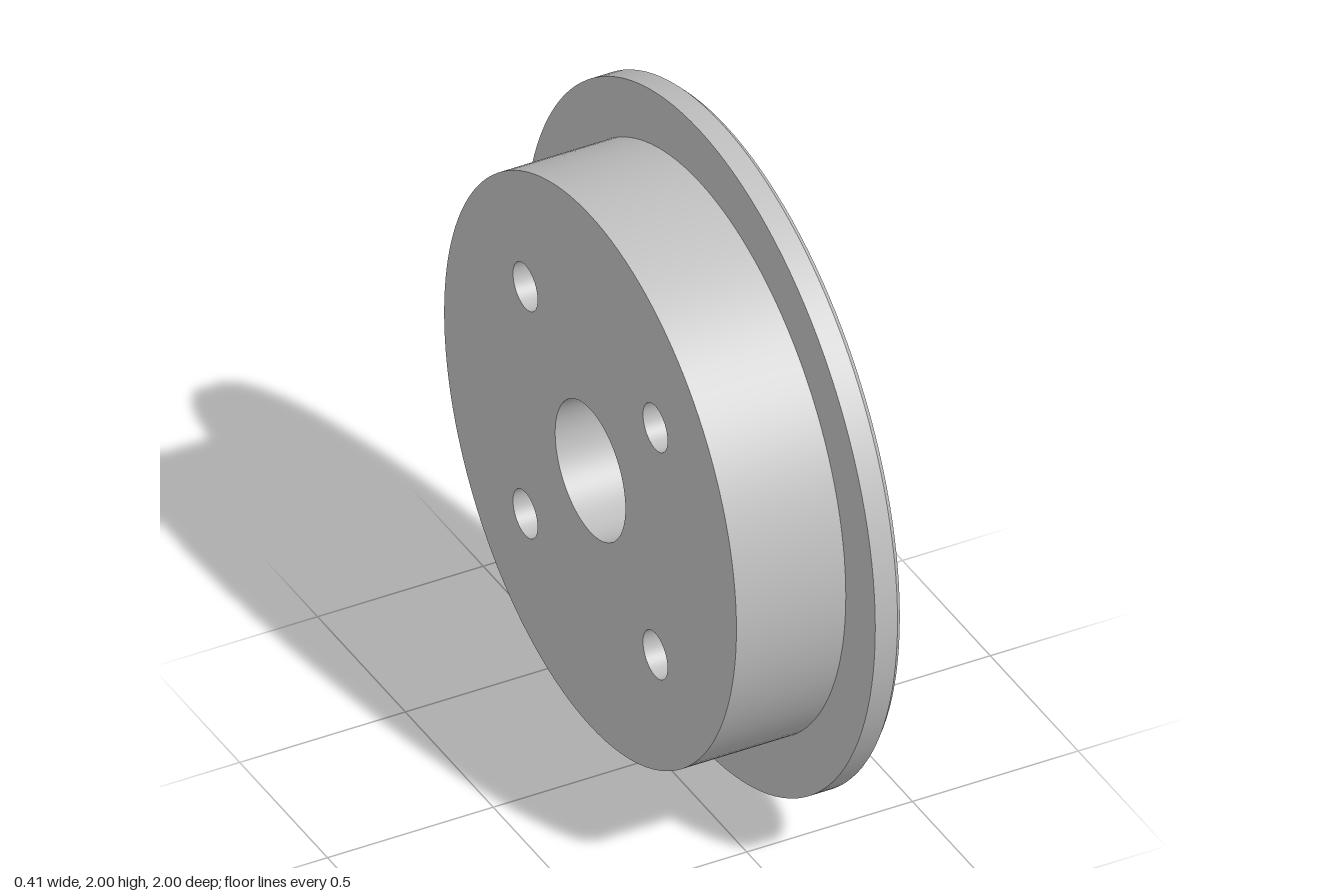
import * as THREE from 'three';

const BACK = -0.207, STEP = 0.123, FRONT = 0.205; // positions along the axle (x)
const HUB_R = 0.832, RIM_R = 1, CHAMFER = 0.015;
const POCKET = 0.02, BLIND = 0.25;

// Counter-clockwise outlines in the plane of the disc
function circle(u, v, r, n = 48) {
  return Array.from({ length: n }, (_, i) => {
    const a = (i / n) * Math.PI * 2;
    return new THREE.Vector2(u + r * Math.cos(a), v + r * Math.sin(a));
  });
}

function kidney(angle, r, halfWidth, spread) {
  const a = angle - spread, b = angle + spread;
  const path = new THREE.Path();
  path.absarc(0, 0, r + halfWidth, a, b, false);
  path.absarc(r * Math.cos(b), r * Math.sin(b), halfWidth, b, b + Math.PI, false);
  path.absarc(0, 0, r - halfWidth, b, a, true);
  path.absarc(r * Math.cos(a), r * Math.sin(a), halfWidth, a + Math.PI, a + Math.PI * 2, false);
  const pts = path.getPoints(20);
  return pts.filter((p, i) => p.distanceTo(pts[(i + 1) % pts.length]) > 1e-5);
}

// Flat face with holes, looking along +x (dir 1) or -x (dir -1)
function face(outline, holes, x, dir) {
  const shape = new THREE.Shape(outline);
  shape.holes = holes.map((h) => new THREE.Path(h));
  return new THREE.ShapeGeometry(shape).rotateY(dir * Math.PI / 2).translate(x, 0, 0);
}

// Inward-facing wall of a hole, from x0 to x1
function wall(outline, x0, x1) {
  const pos = [], index = [], n = outline.length;
  outline.forEach((p, i) => {
    pos.push(p.x, p.y, x0, p.x, p.y, x1);
    const a = 2 * i, c = 2 * ((i + 1) % n);
    index.push(a, a + 1, c, c, a + 1, c + 1);
  });
  const g = new THREE.BufferGeometry();
  g.setAttribute('position', new THREE.Float32BufferAttribute(pos, 3));
  g.setIndex(index);
  g.computeVertexNormals();
  return g.rotateY(Math.PI / 2);
}

// Outward-facing band around the axle
function band(r0, r1, x0, x1) {
  return new THREE.CylinderGeometry(r1, r0, x1 - x0, 128, 1, true)
    .rotateZ(-Math.PI / 2).translate((x0 + x1) / 2, 0, 0);
}

export function createModel() {
  const group = new THREE.Group();
  group.name = 'flangedHub';
  const metal = new THREE.MeshStandardMaterial({ color: 0xbfbfbf });
  metal.name = 'greyMetal';
  const add = (name, geometry) => {
    const mesh = new THREE.Mesh(geometry, metal);
    mesh.name = name;
    mesh.position.y = 1;
    group.add(mesh);
  };

  // Openings
  const bore = circle(0, 0, 0.2, 72);
  const boltHoles = [[1, 1], [-1, 1], [-1, -1], [1, -1]].map(([u, v]) => circle(0.37 * u, 0.37 * v, 0.07));
  const through = [bore, ...boltHoles];
  const spread = Math.PI / 8;
  const roundPockets = [-1, 1].map((s) => circle(s * 0.6 * Math.sin(spread), 0.6 * Math.cos(spread), 0.118));
  const slots = [0, Math.PI, -Math.PI / 2].map((a) => kidney(a, 0.6, 0.12, spread));
  const pockets = [...roundPockets, ...slots];
  const blindHole = circle(0, 0.53, 0.085);

  // Outer bands
  add('hubSide', band(HUB_R, HUB_R, BACK, STEP));
  add('flangeRim', band(RIM_R, RIM_R, STEP, FRONT - CHAMFER));
  add('flangeChamfer', band(RIM_R, RIM_R - CHAMFER, FRONT - CHAMFER, FRONT));

  // Flat faces
  add('hubBackFace', face(circle(0, 0, HUB_R, 128), through, BACK, -1));
  add('flangeBackFace', face(circle(0, 0, RIM_R, 128), [circle(0, 0, HUB_R, 128)], STEP, -1));
  add('flangeFrontFace', face(circle(0, 0, RIM_R - CHAMFER, 128), [...through, ...pockets, blindHole], FRONT, 1));

  // Through holes
  through.forEach((h, i) => add(i ? 'boltHole' : 'centreBore', wall(h, BACK, FRONT)));

  // Shallow pockets and the deeper blind hole
  const recess = (name, outline, depth) => {
    add(name + 'Wall', wall(outline, FRONT - depth, FRONT));
    add(name + 'Floor', face(outline, [], FRONT - depth, 1));
  };
  roundPockets.forEach((p) => recess('roundPocket', p, POCKET));
  slots.forEach((p) => recess('slotPocket', p, POCKET));
  recess('blindHole', blindHole, BLIND);

  return group;
}
